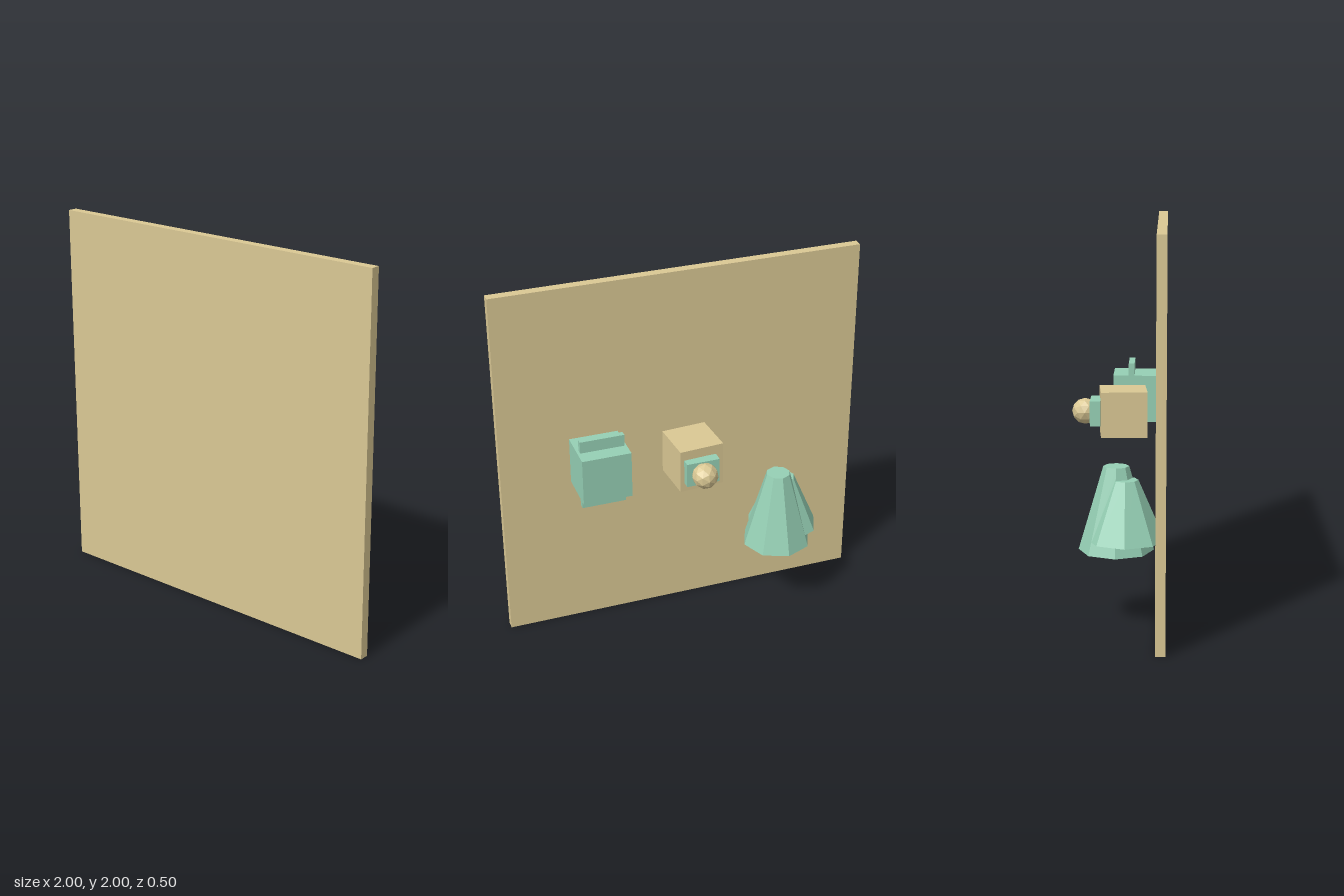
import * as THREE from 'three';

const teal = new THREE.MeshStandardMaterial({ color: 0x96d0b5, flatShading: true });
const sand = new THREE.MeshStandardMaterial({ color: 0xdac894, flatShading: true });

export function createModel() {
  const model = new THREE.Group();

  const add = (name, geometry, material, x, y, z) => {
    const mesh = new THREE.Mesh(geometry, material);
    mesh.name = name;
    mesh.position.set(x, y, z);
    model.add(mesh);
    return mesh;
  };
  const box = (w, h, d) => new THREE.BoxGeometry(w, h, d);

  // Large square wall panel
  add('wallPanel', box(2, 2, 0.05), sand, 0, 1, 0.225);

  // Block against the panel with a thin slab passing through it
  add('block', box(0.265, 0.26, 0.255), teal, 0.488, 1.005, 0.083);
  add('slab', box(0.24, 0.4, 0.032), teal, 0.486, 1, 0.056);

  // Slightly turned cube with a small mount and a faceted knob
  add('cube', box(0.243, 0.24, 0.243), sand, -0.002, 1.003, 0.021).rotation.y = 0.07;
  add('knobMount', box(0.18, 0.135, 0.055), teal, 0, 1.003, -0.125);
  add('knob', new THREE.IcosahedronGeometry(0.07, 1), sand, 0, 1.003, -0.18);

  // Two overlapping eight-sided tapered cones
  add('tallCone', new THREE.CylinderGeometry(0.065, 0.19, 0.43, 8), teal, -0.49, 0.6, 0);
  add('shortCone', new THREE.CylinderGeometry(0.065, 0.197, 0.305, 8), teal, -0.537, 0.603, 0.047);

  return model;
}
